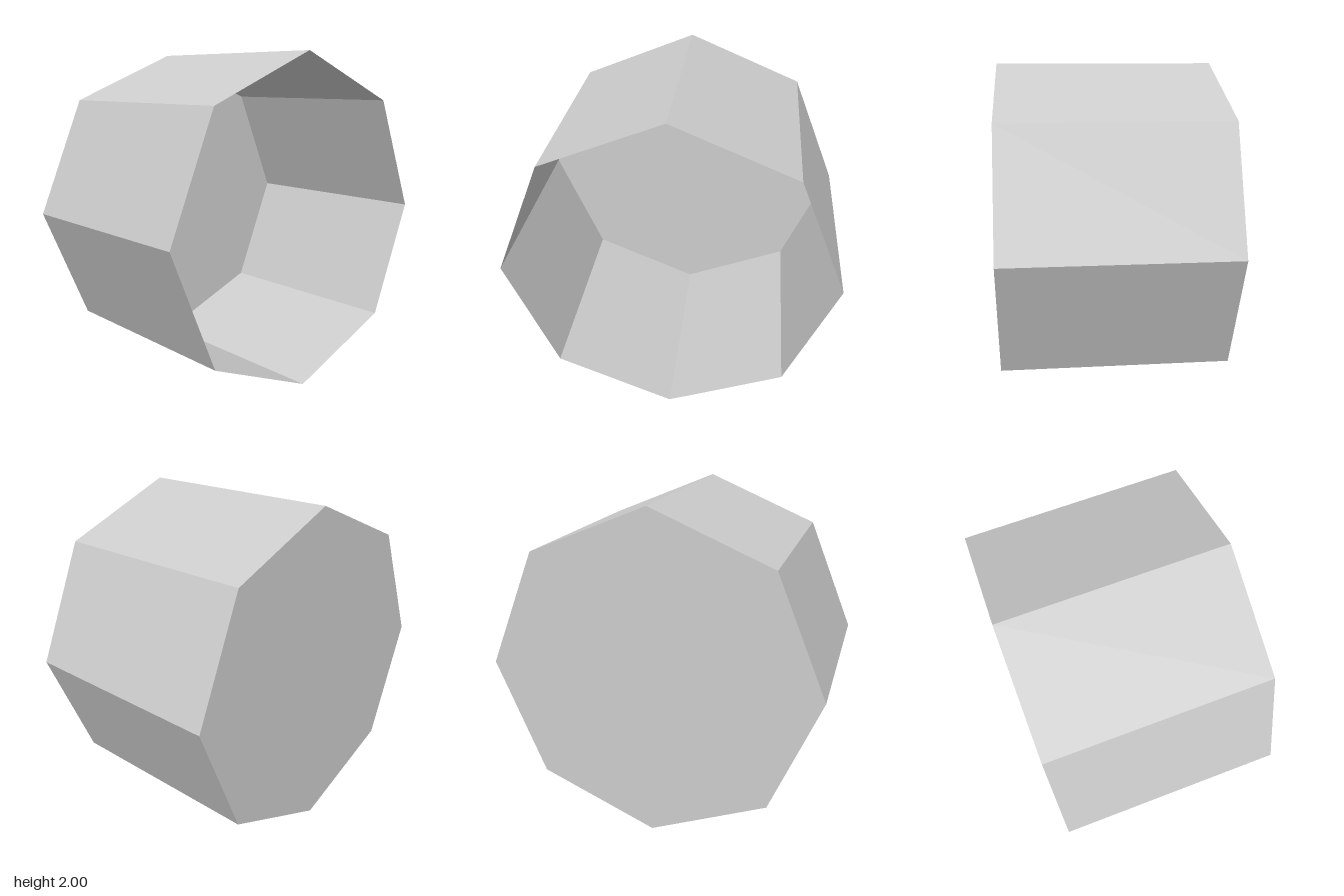
import * as THREE from 'three';

const SIDES = 8, RADIUS = 1, DEPTH = 1.33;

export function createModel() {
  const group = new THREE.Group();
  group.name = 'octagonalCup';
  const material = new THREE.MeshStandardMaterial({
    color: 0xcccccc, flatShading: true, side: THREE.DoubleSide,
  });

  // Thin eight-sided wall lying along z, open at the front
  const wall = new THREE.Mesh(
    new THREE.CylinderGeometry(RADIUS, RADIUS, DEPTH, SIDES, 1, true).rotateX(Math.PI / 2),
    material,
  );
  wall.name = 'sideWall';
  wall.position.y = RADIUS;

  // Flat panel closing the back
  const back = new THREE.Mesh(
    new THREE.CircleGeometry(RADIUS, SIDES).rotateY(Math.PI),
    material,
  );
  back.name = 'backPanel';
  back.position.set(0, RADIUS, -DEPTH / 2);

  group.add(wall, back);
  return group;
}
